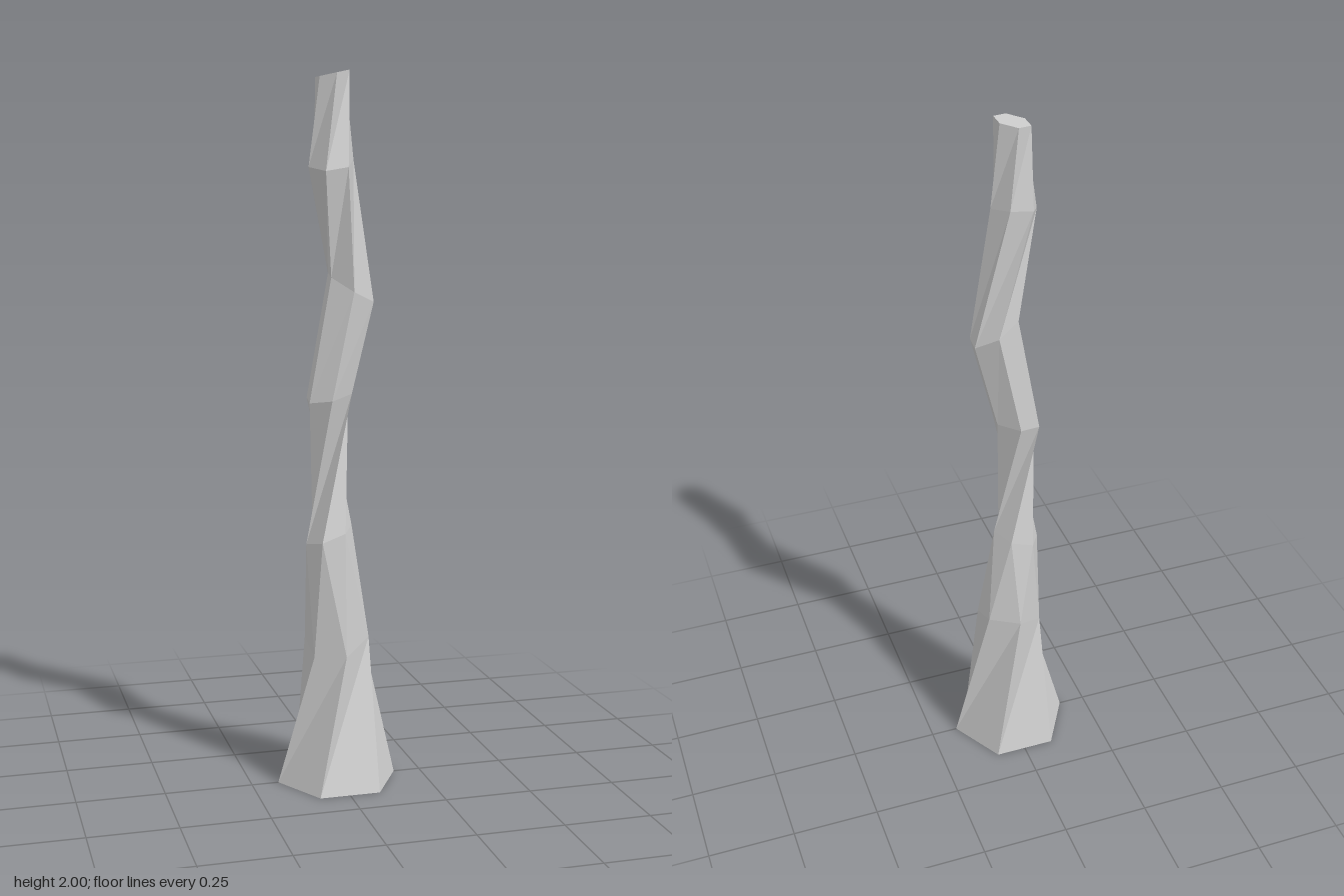
import * as THREE from 'three';

// Rings from the ground up: centre x, y, z, radius, turn in degrees, tilt as rise per x and per z
const RINGS = [
  [0, 0, 0, 0.173, 0, 0, 0],
  [0, 0.42, 0, 0.093, -33, 0.27, -0.4],
  [-0.023, 0.72, 0.003, 0.066, 0, 0.37, 0],
  [-0.022, 1.115, 0.002, 0.068, -83, 0.22, -0.08],
  [0.04, 1.415, 0.002, 0.068, -83, -0.55, -0.2],
  [-0.02, 1.753, 0.017, 0.064, -123, 0.15, -0.3],
  [-0.016, 1.991, 0.017, 0.048, -150, 0.22, 0],
];

export function createModel() {
  const group = new THREE.Group();
  group.name = 'twistedTrunk';

  // Six-sided column whose rings are shifted, turned, scaled and tilted
  const steps = RINGS.length - 1;
  const geometry = new THREE.CylinderGeometry(1, 1, 1, 6, steps, false, Math.PI / 6);
  const pos = geometry.attributes.position;
  for (let i = 0; i < pos.count; i++) {
    const ring = Math.round((pos.getY(i) + 0.5) * steps);
    const [cx, cy, cz, radius, turn, riseX, riseZ] = RINGS[ring];
    const a = THREE.MathUtils.degToRad(turn);
    const x = pos.getX(i), z = pos.getZ(i);
    const dx = radius * (x * Math.cos(a) - z * Math.sin(a));
    const dz = radius * (x * Math.sin(a) + z * Math.cos(a));
    pos.setXYZ(i, cx + dx, cy + riseX * dx + riseZ * dz, cz + dz);
  }
  const faceted = geometry.toNonIndexed();
  faceted.computeVertexNormals();

  const trunk = new THREE.Mesh(
    faceted,
    new THREE.MeshStandardMaterial({ color: 0xcccccc, flatShading: true })
  );
  trunk.name = 'trunk';
  group.add(trunk);
  return group;
}
